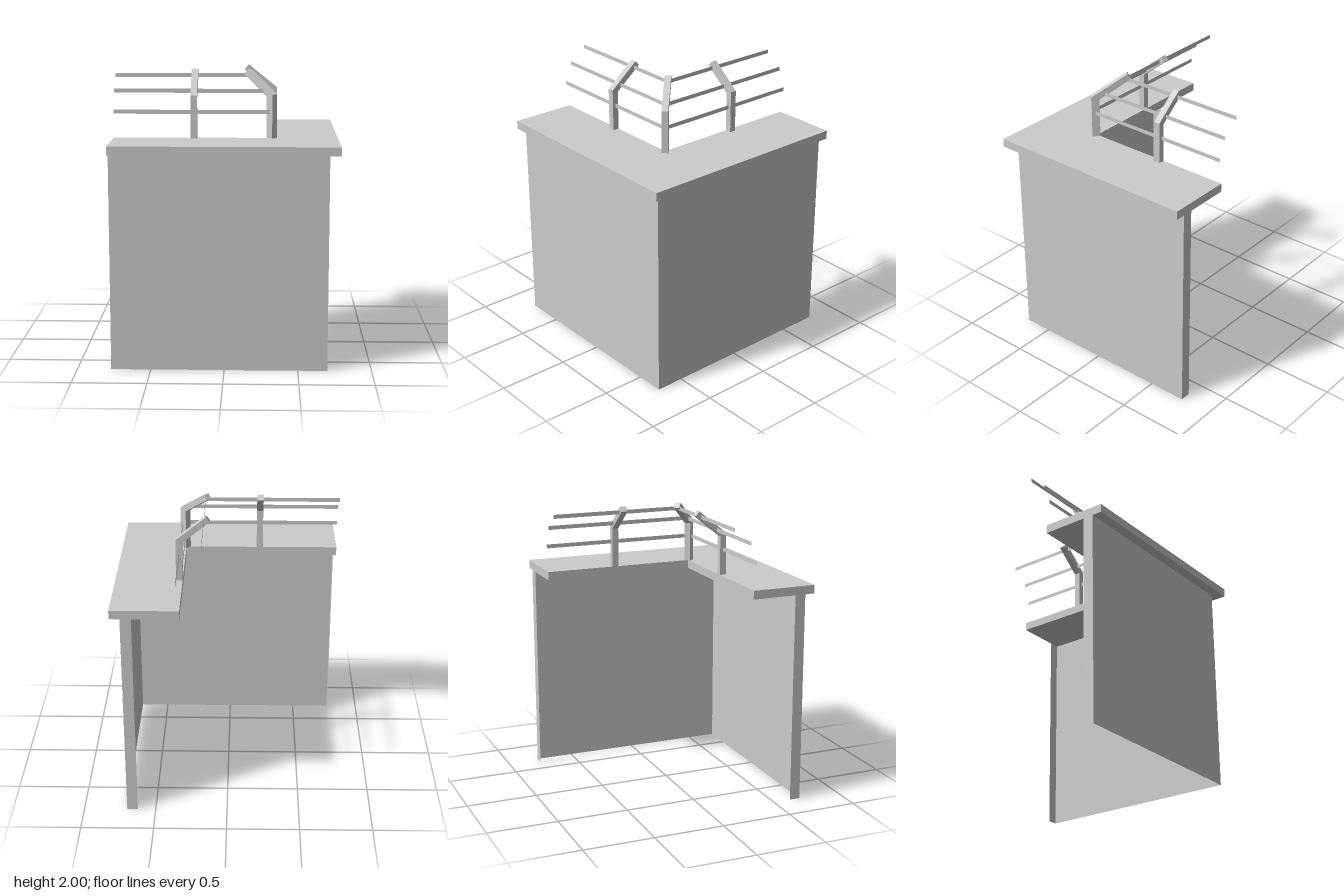
import * as THREE from 'three';

const material = new THREE.MeshStandardMaterial({ color: 0xcccccc, flatShading: true, side: THREE.DoubleSide });

function addMesh(parent, name, geometry) {
  const mesh = new THREE.Mesh(geometry, material);
  mesh.name = name;
  parent.add(mesh);
  return mesh;
}

// Upright thin sheet following a plan path of [x, z] points
function sheet(path, y0, y1) {
  const pos = [];
  for (let i = 0; i < path.length - 1; i++) {
    const [ax, az] = path[i], [bx, bz] = path[i + 1];
    pos.push(ax, y0, az, bx, y0, bz, bx, y1, bz);
    pos.push(ax, y0, az, bx, y1, bz, ax, y1, az);
  }
  const g = new THREE.BufferGeometry();
  g.setAttribute('position', new THREE.Float32BufferAttribute(pos, 3));
  g.computeVertexNormals();
  return g;
}

// Bent post: side profile of [outward distance, height], extruded to its width
function postGeometry(profile, width = 0.045) {
  const shape = new THREE.Shape(profile.map(([d, y]) => new THREE.Vector2(d, y)));
  return new THREE.ExtrudeGeometry(shape, { depth: width, bevelEnabled: false }).translate(0, 0, -width / 2);
}

export function createModel() {
  const model = new THREE.Group();
  model.name = 'cornerParapet';

  // Facade sheet around the outer corner, with a short return at each end
  const out = 0.7, end = -0.77, ret = 0.625;
  addMesh(model, 'facadeWalls',
    sheet([[end, ret], [end, out], [out, out], [out, end], [ret, end]], 0, 1.48));

  // L-shaped slab on top (drawn in plan, then laid flat)
  const plan = [[-0.77, 0.77], [0.77, 0.77], [0.77, -0.77], [0.31, -0.77], [0.31, 0.31], [-0.77, 0.31]];
  const slabShape = new THREE.Shape(plan.map(([x, z]) => new THREE.Vector2(x, -z)));
  const slab = new THREE.ExtrudeGeometry(slabShape, { depth: 0.06, bevelEnabled: false });
  addMesh(model, 'slab', slab.rotateX(-Math.PI / 2).translate(0, 1.48, 0));

  // Straight posts, one on each arm
  const straight = postGeometry([
    [0.31, 1.54], [0.355, 1.54], [0.355, 1.835], [0.15, 2], [0.122, 1.967], [0.31, 1.815]]);
  addMesh(model, 'sidePost', straight).position.z = -0.262;
  const frontPost = addMesh(model, 'frontPost', straight);
  frontPost.rotation.y = -Math.PI / 2;
  frontPost.position.x = -0.218;

  // Diagonal post at the corner
  const cornerPost = addMesh(model, 'cornerPost', postGeometry([
    [0.418, 1.54], [0.473, 1.54], [0.473, 1.84], [0.225, 2], [0.2, 1.965], [0.418, 1.82]]));
  cornerPost.rotation.y = -Math.PI / 4;

  // Three thin rails following the lean of the posts
  const rails = new THREE.Group();
  rails.name = 'rails';
  for (const [k, y] of [[0.333, 1.72], [0.285, 1.86], [0.165, 1.958]]) {
    addMesh(rails, 'rail', sheet([[end, k], [k, k], [k, end]], y - 0.014, y + 0.014));
  }
  model.add(rails);
  return model;
}
